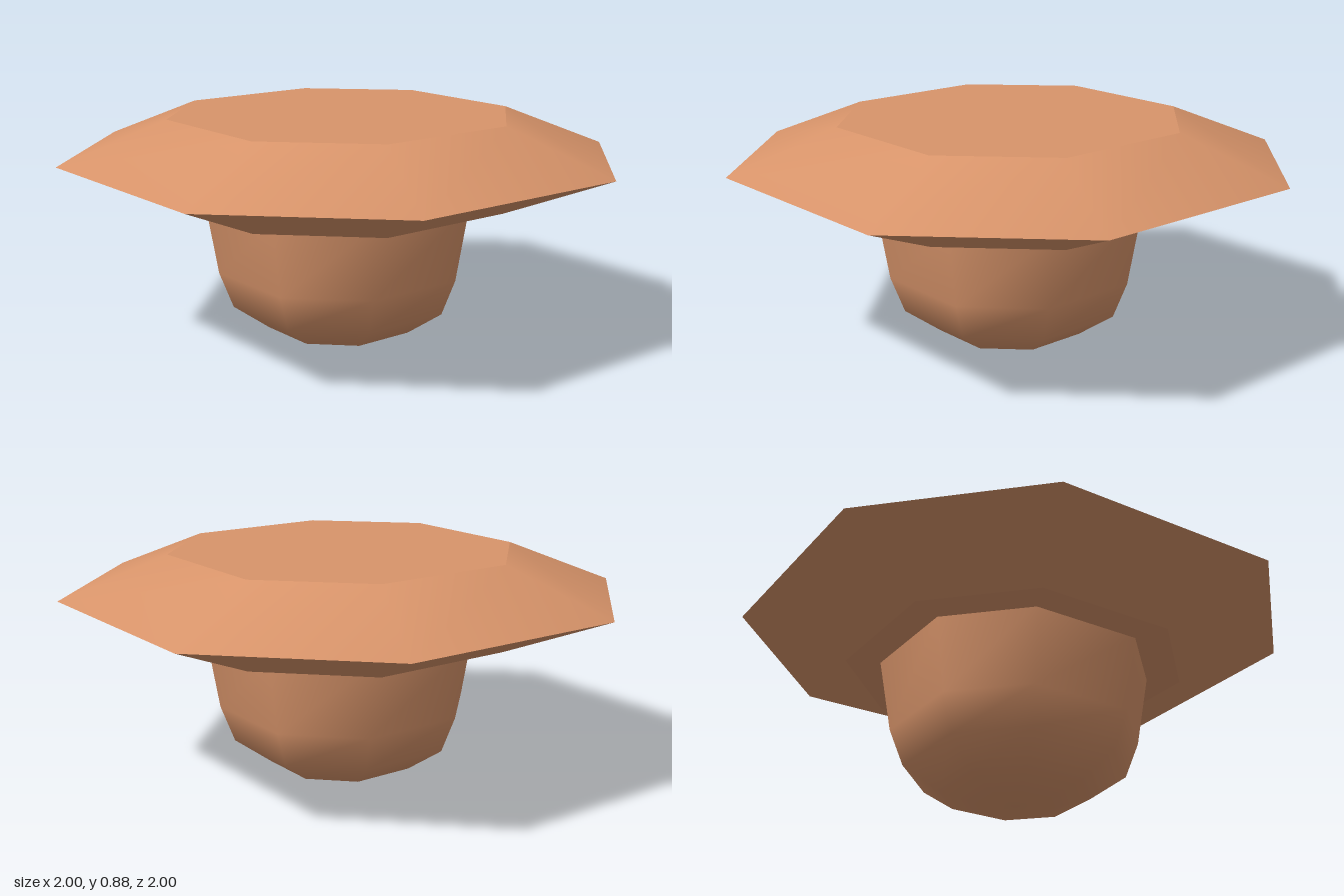
import * as THREE from 'three';

// Octagon with slightly wide chamfers, counter-clockwise seen from above
const C = 0.37;
const OCTAGON = [[1, C], [1, -C], [C, -1], [-C, -1], [-1, -C], [-1, C], [-C, 1], [C, 1]];

// Smooth-shaded skin through octagonal rings [halfWidth, y], listed bottom to top
function loft(rings) {
  const positions = [];
  const index = [];
  const n = OCTAGON.length;
  rings.forEach(([r, y], k) => {
    for (const [x, z] of OCTAGON) positions.push(x * r, y, z * r);
    if (k === 0) return;
    for (let i = 0; i < n; i++) {
      const a = (k - 1) * n + i;
      const b = (k - 1) * n + (i + 1) % n;
      if (rings[k - 1][0] > 0) index.push(a, b, b + n);
      if (r > 0) index.push(a, b + n, a + n);
      else if (rings[k - 1][0] > 0) index.splice(-3, 3, a, b, a + n);
    }
  });
  const geometry = new THREE.BufferGeometry();
  geometry.setAttribute('position', new THREE.Float32BufferAttribute(positions, 3));
  geometry.setIndex(index);
  geometry.computeVertexNormals();
  return geometry;
}

export function createModel() {
  const model = new THREE.Group();
  model.name = 'mushroomShape';
  const clay = new THREE.MeshStandardMaterial({ color: 0xd8946a });
  clay.name = 'terracotta';

  const addPart = (parent, name, rings) => {
    const mesh = new THREE.Mesh(loft(rings), clay);
    mesh.name = name;
    parent.add(mesh);
  };

  // Wide bevelled disc; separate faces keep its edges sharp
  const disc = new THREE.Group();
  disc.name = 'disc';
  addPart(disc, 'discUnderside', [[0, 0.56], [0.62, 0.56]]);
  addPart(disc, 'discLowerSlope', [[0.62, 0.56], [1, 0.72]]);
  addPart(disc, 'discUpperSlope', [[1, 0.72], [0.62, 0.88]]);
  addPart(disc, 'discTop', [[0.62, 0.88], [0, 0.88]]);
  model.add(disc);

  // Rounded bulb beneath the disc
  addPart(model, 'bulb', [
    [0, 0], [0.135, 0], [0.27, 0.045], [0.4, 0.14], [0.45, 0.28], [0.495, 0.565],
  ]);
  return model;
}
